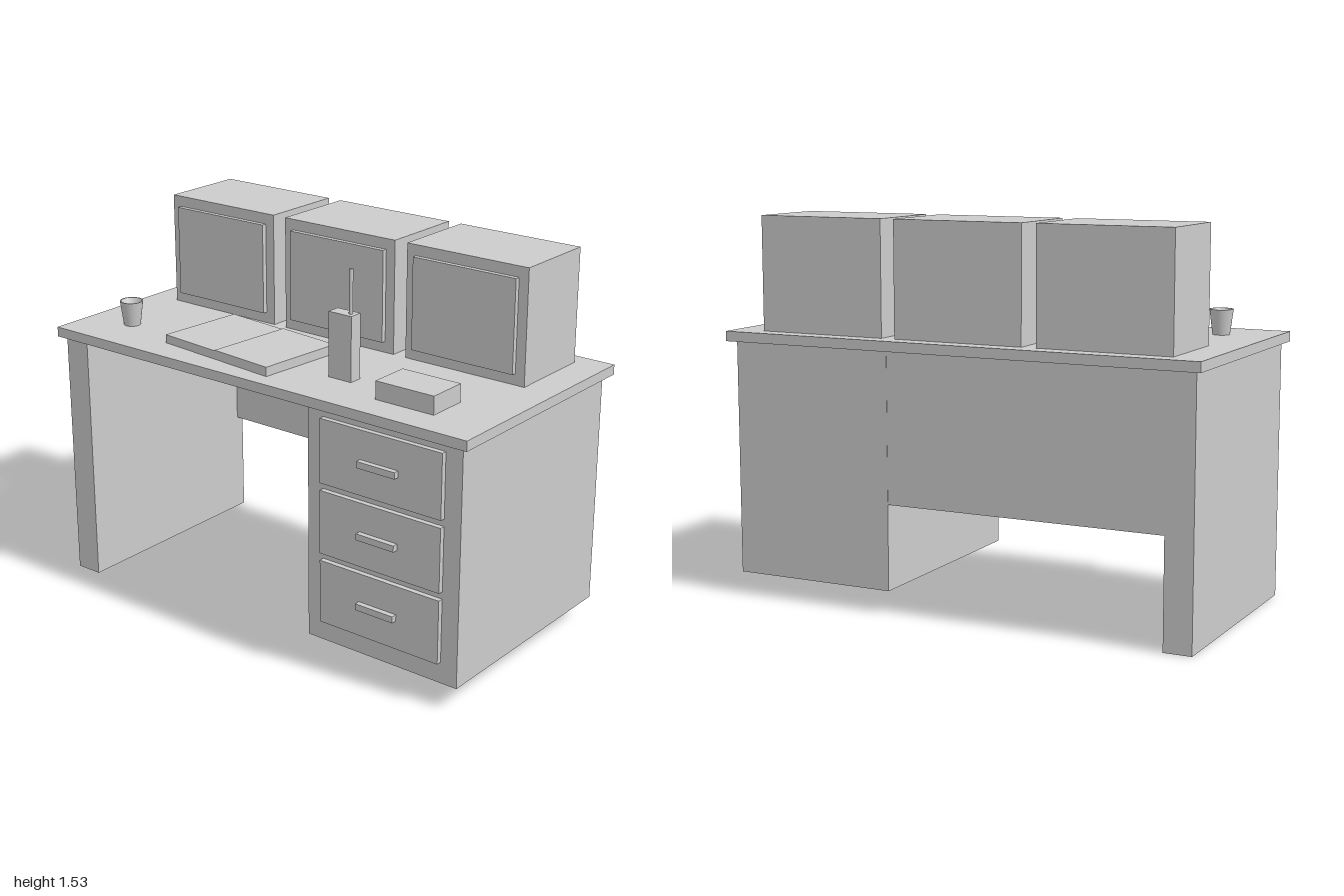
import * as THREE from 'three';

export function createModel() {
  const model = new THREE.Group();
  const grey = new THREE.MeshStandardMaterial({ color: 0xcccccc });
  grey.name = 'light grey';

  const add = (name, geometry, parent = model) => {
    const mesh = new THREE.Mesh(geometry, grey);
    mesh.name = name;
    parent.add(mesh);
    return mesh;
  };
  // Box given by its limits on each axis
  const box = (name, [x0, x1], [y0, y1], [z0, z1], parent) => {
    const mesh = add(name, new THREE.BoxGeometry(x1 - x0, y1 - y0, z1 - z0), parent);
    mesh.position.set((x0 + x1) / 2, (y0 + y1) / 2, (z0 + z1) / 2);
    return mesh;
  };

  const top = 1.073; // height of the work surface
  const under = 1.033;
  const depth = [-0.475, 0.465];

  // Desk carcass
  box('desktop', [-1, 1], [under, top], [-0.508, 0.49]);
  box('legPanel', [-0.973, -0.86], [0, under], depth);
  box('drawerCabinet', [0.284, 0.97], [0.09, under], depth);
  box('modestyPanel', [-0.86, 0.284], [0.433, under], [-0.474, -0.44]);

  // Drawers with bar handles
  for (let i = 0; i < 3; i++) {
    const y = 0.303 + i * 0.285;
    const drawer = new THREE.Group();
    drawer.name = 'drawer';
    model.add(drawer);
    box('drawerFront', [0.355, 0.898], [y - 0.128, y + 0.128], [0.465, 0.486], drawer);
    box('drawerHandle', [0.54, 0.71], [y - 0.013, y + 0.013], [0.486, 0.508], drawer);
  }

  // Three box monitors with raised screens
  for (const x of [-0.6, 0, 0.597]) {
    const monitor = new THREE.Group();
    monitor.name = 'monitor';
    model.add(monitor);
    box('monitorCase', [x - 0.27, x + 0.27], [top, 1.53], [-0.436, -0.08], monitor);
    box('monitorScreen', [x - 0.229, x + 0.229], [1.118, 1.487], [-0.08, -0.06], monitor);
  }

  // Open book, turned slightly
  const book = new THREE.Group();
  book.name = 'openBook';
  book.position.set(-0.2175, top, 0.207);
  book.rotation.y = -0.1;
  model.add(book);
  box('leftPages', [-0.284, 0], [0, 0.034], [-0.183, 0.185], book);
  box('rightPages', [0, 0.284], [0, 0.037], [-0.185, 0.185], book);

  // Handheld radio with antenna
  box('radioBody', [0.23, 0.336], [top, 1.33], [0.22, 0.275]);
  add('radioAntenna', new THREE.CylinderGeometry(0.008, 0.008, 0.172, 12)).position.set(0.313, 1.416, 0.248);

  // Small box
  box('smallBox', [0.512, 0.77], [top, 1.145], [0.193, 0.36]);

  // Tapered cup, hollow inside
  const cup = new THREE.Group();
  cup.name = 'cup';
  cup.position.set(-0.79, top, 0.273);
  model.add(cup);
  const lathe = (name, points) =>
    add(name, new THREE.LatheGeometry(points.map(([r, y]) => new THREE.Vector2(r, y)), 32), cup);
  lathe('cupOutside', [[0.034, 0], [0.047, 0.1]]);
  lathe('cupRim', [[0.047, 0.1], [0.042, 0.1]]);
  lathe('cupInside', [[0.042, 0.1], [0, 0.015]]);

  return model;
}
